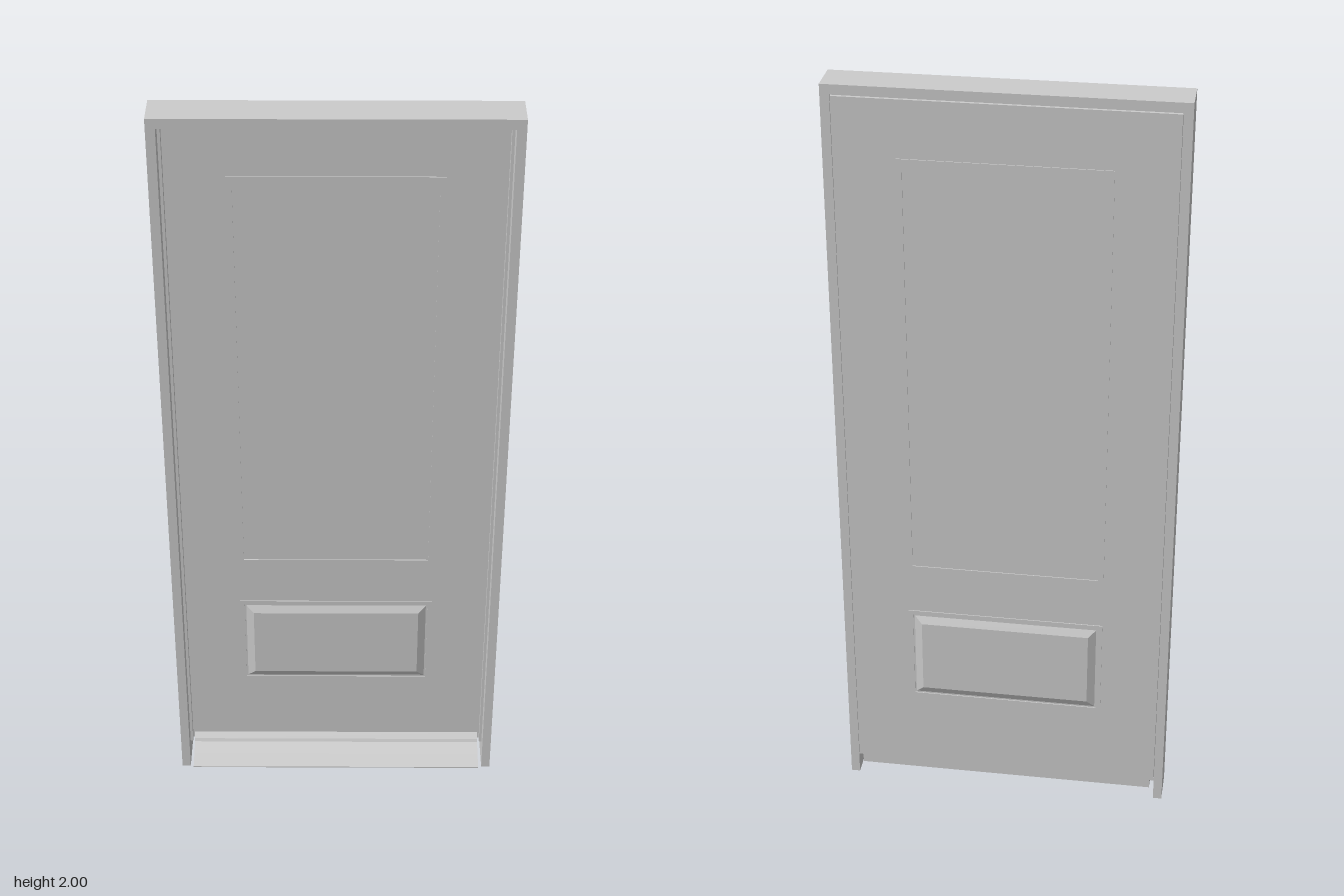
import * as THREE from 'three';

const FRONT = 0.03, BACK = -0.065;            // frame faces
const LEAF_FRONT = -0.025;                    // recessed front face of the leaf
const mat = new THREE.MeshStandardMaterial({ color: 0xcccccc, flatShading: true });

function add(parent, name, geometry) {
  const mesh = new THREE.Mesh(geometry, mat);
  mesh.name = name;
  parent.add(mesh);
  return mesh;
}

function polygon(points, Type = THREE.Shape) {
  return new Type(points.map(([x, y]) => new THREE.Vector2(x, y)));
}

const rect = (w, y0, y1) => [[-w, y0], [w, y0], [w, y1], [-w, y1]];

// Upside-down U: two legs and a head
function portal(outer, inner, bottom, top, head, z0, z1) {
  const shape = polygon([
    [-outer, bottom], [-inner, bottom], [-inner, head], [inner, head],
    [inner, bottom], [outer, bottom], [outer, top], [-outer, top],
  ]);
  return new THREE.ExtrudeGeometry(shape, { depth: z1 - z0, bevelEnabled: false }).translate(0, 0, z0);
}

// Thin rectangular bead standing on the z = 0 plane
function bead(w, y0, y1, width, height) {
  const shape = polygon(rect(w, y0, y1));
  shape.holes.push(polygon(rect(w - width, y0 + width, y1 - width), THREE.Path));
  return new THREE.ExtrudeGeometry(shape, { depth: height, bevelEnabled: false });
}

// Raised field with sloping borders, standing on the z = 0 plane
function raisedField(w, y0, y1, slope, height) {
  const box = new THREE.BoxGeometry(2 * w, y1 - y0, height).translate(0, 0, height / 2);
  const p = box.attributes.position;
  for (let i = 0; i < p.count; i++) {
    if (p.getZ(i) < height / 2) continue;
    p.setX(i, p.getX(i) - Math.sign(p.getX(i)) * slope);
    p.setY(i, p.getY(i) - Math.sign(p.getY(i)) * slope);
  }
  box.translate(0, (y0 + y1) / 2, 0);
  box.computeVertexNormals();
  return box;
}

// Mouldings for one face of the leaf
function panelSet(name) {
  const set = new THREE.Group();
  set.name = name;
  add(set, 'upperPanelBead', bead(0.256, 0.683, 1.827, 0.014, 0.0025));
  add(set, 'lowerPanelBead', bead(0.256, 0.278, 0.556, 0.012, 0.0025));
  add(set, 'lowerRaisedPanel', raisedField(0.24, 0.294, 0.54, 0.02, 0.0095));
  return set;
}

export function createModel() {
  const door = new THREE.Group();
  door.name = 'door';

  // Frame and the stop the leaf closes against
  add(door, 'frame', portal(0.43, 0.407, 0, 2, 1.975, BACK, FRONT));
  add(door, 'doorStop', portal(0.408, 0.4, 0.06, 1.976, 1.969, LEAF_FRONT, -0.008));

  // Leaf, flush with the back of the frame
  const leafBottom = 0.06, leafTop = 1.972;
  add(door, 'leaf', new THREE.BoxGeometry(0.812, leafTop - leafBottom, LEAF_FRONT - BACK))
    .position.set(0, (leafTop + leafBottom) / 2, (LEAF_FRONT + BACK) / 2);

  // Panels on both faces
  const front = panelSet('frontPanels');
  front.position.z = LEAF_FRONT;
  const back = panelSet('backPanels');
  back.position.z = BACK;
  back.rotation.y = Math.PI;
  door.add(front, back);

  // Sill: profile in (z, y), swept across the opening
  const w = 0.395;
  const profile = polygon([
    [BACK, 0.035], [0.03, 0.035], [0.072, 0.036], [0.072, 0.039],
    [0.03, 0.048], [-0.008, 0.058], [-0.012, 0.066], [LEAF_FRONT, 0.08],
    [-0.03, 0.08], [-0.03, 0.061], [BACK, 0.061],
  ]);
  const sill = new THREE.ExtrudeGeometry(profile, { depth: 2 * w, bevelEnabled: false });
  add(door, 'sill', sill.rotateY(-Math.PI / 2).translate(w, 0, 0));

  return door;
}
